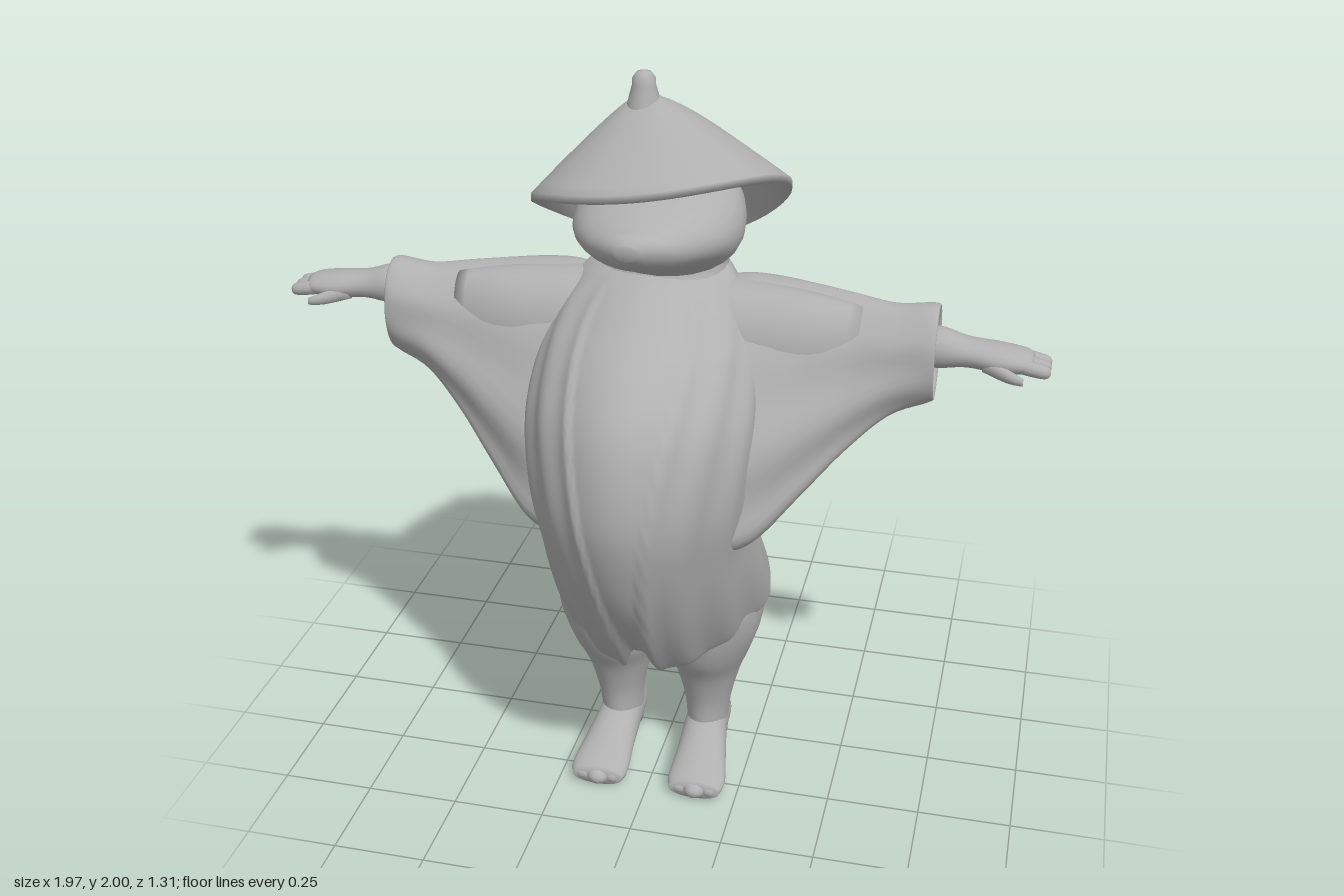
import * as THREE from 'three';
import { mergeVertices } from 'three/addons/utils/BufferGeometryUtils.js';

const V = (x, y, z) => new THREE.Vector3(x, y, z);
const { smoothstep, lerp } = THREE.MathUtils;

// Ring through a front point and a back point (y, z each), with half width rx and centre cx
const ring = (fy, fz, by, bz, rx, cx = 0) => ({
  c: V(cx, (fy + by) / 2, (fz + bz) / 2),
  u: V(rx, 0, 0),
  v: V(0, (fy - by) / 2, (fz - bz) / 2),
});
// Upright ring across the x axis; the lower end leans forward by skew
const cross = (x, y0, y1, z0, z1, skew = 0) => ({
  c: V(x, (y0 + y1) / 2, (z0 + z1) / 2),
  u: V(0, 0, (z1 - z0) / 2),
  v: V(0, (y1 - y0) / 2, -skew),
});

// Smooth closed skin over a row of elliptical rings
function loft(rings, n = 28, steps = 4, mod = null) {
  const [C, U, W] = ['c', 'u', 'v'].map(k => new THREE.CatmullRomCurve3(rings.map(r => r[k]), false, 'catmullrom', 0.5));
  const rows = (rings.length - 1) * steps, pos = [], idx = [];
  for (let i = 0; i <= rows; i++) {
    const t = i / rows, c = C.getPoint(t), u = U.getPoint(t), v = W.getPoint(t);
    for (let j = 0; j < n; j++) {
      const a = (j / n) * Math.PI * 2;
      const d = u.clone().multiplyScalar(Math.cos(a)).addScaledVector(v, Math.sin(a));
      if (mod) mod(d, a, t);
      d.add(c);
      pos.push(d.x, d.y, d.z);
    }
  }
  // The middle of the row decides which way the skin faces, as ends may fold inward
  const m = rings.length >> 1;
  const axis = rings[m].c.clone().sub(rings[m - 1].c);
  const flip = rings[m].u.clone().cross(rings[m].v).dot(axis) < 0;
  const tri = (a, b, c) => flip ? idx.push(a, c, b) : idx.push(a, b, c);
  for (let i = 0; i < rows; i++) for (let j = 0; j < n; j++) {
    const k = (j + 1) % n, a = i * n + j, b = i * n + k;
    tri(a, b, b + n);
    tri(a, b + n, a + n);
  }
  // End caps
  for (const [row, r] of [[0, rings[0]], [rows, rings[rings.length - 1]]]) {
    const hub = pos.length / 3;
    pos.push(r.c.x, r.c.y, r.c.z);
    for (let j = 0; j < n; j++) {
      const a = row * n + j, b = row * n + (j + 1) % n;
      row ? tri(a, b, hub) : tri(b, a, hub);
    }
  }
  const g = new THREE.BufferGeometry();
  g.setAttribute('position', new THREE.Float32BufferAttribute(pos, 3));
  g.setIndex(idx);
  g.computeVertexNormals();
  return g;
}

// Wide cone hat whose rim droops at the back and tips to one side
function hatGeometry() {
  const prof = [];
  for (let i = 0; i <= 12; i++) prof.push(new THREE.Vector2(i / 12, -0.02));
  for (let i = 12; i >= 0; i--) prof.push(new THREE.Vector2(i / 12, 0));
  let g = new THREE.LatheGeometry(prof, 48);
  const p = g.attributes.position;
  for (let i = 0; i < p.count; i++) {
    const x = p.getX(i), z = p.getZ(i), t = Math.hypot(x, z);
    const s = t > 1e-6 ? x / t : 0, c = t > 1e-6 ? z / t : 0;
    const rim = 1.71 + 0.05 * s + 0.15 * c - 0.07 * c * c;
    const drop = lerp(Math.pow(t, 1.3 - 0.4 * c), 0.42 * t + 0.58 * t ** 5, Math.max(0, -c) ** 2);
    const y = 1.945 + (rim - 1.945) * drop + p.getY(i);
    p.setXYZ(i, -0.03 + 0.04 * t + 0.32 * x, y, 0.165 + 0.3 * z);
  }
  g.deleteAttribute('uv');
  g.deleteAttribute('normal');
  g = mergeVertices(g, 1e-5);
  g.computeVertexNormals();
  return g;
}

export function createModel() {
  const model = new THREE.Group();
  const grey = new THREE.MeshStandardMaterial({ color: 0xb0b0b0 });
  grey.name = 'plainGrey';
  const add = (name, geo) => {
    const m = new THREE.Mesh(geo, grey);
    m.name = name;
    model.add(m);
    return m;
  };

  // Robe: hollow hem, full belly, coat fronts standing proud of the middle
  const robe = [
    ring(0.56, 0.38, 0.76, -0.02, 0.26),
    ring(0.45, 0.345, 0.72, -0.08, 0.285),
    ring(0.43, 0.36, 0.715, -0.10, 0.3),
    ring(0.6, 0.49, 0.79, -0.045, 0.295),
    ring(0.8, 0.6, 0.88, 0.03, 0.28),
    ring(1.0, 0.655, 1.0, 0.1, 0.285),
    ring(1.2, 0.625, 1.14, 0.105, 0.29),
    ring(1.33, 0.535, 1.28, 0.04, 0.275),
    ring(1.42, 0.41, 1.4, 0.0, 0.245),
    ring(1.485, 0.31, 1.5, -0.015, 0.19),
    ring(1.52, 0.23, 1.55, 0.0, 0.13),
  ];
  add('robe', loft(robe, 120, 6, (d, a, t) => {
    const front = Math.abs(Math.atan2(Math.sin(a - Math.PI / 2), Math.cos(a - Math.PI / 2)));
    const edge = 0.12 + 0.6 * smoothstep(t, 0.2, 0.85);
    const fade = 1 - smoothstep(t, 0.8, 0.95);
    const coat = smoothstep(front, edge, edge + 0.06) * (1 - smoothstep(front, 1.2, 1.8));
    const folds = 0.018 * Math.cos((front - edge) * 14);
    d.x *= 1 - 0.31 * Math.max(0, Math.sin(a));
    d.multiplyScalar(1 + fade * coat * (0.028 + folds));
    // Parting between the coat fronts at the hem
    const part = (1 - smoothstep(front, 0.05, 0.25)) * (1 - smoothstep(t, 0.2, 0.45));
    d.y += 0.09 * part;
    d.z += 0.05 * part;
  }));

  // Neck and head with a broad muzzle
  add('neck', loft([
    ring(1.44, 0.3, 1.42, 0.0, 0.19), ring(1.52, 0.25, 1.54, -0.02, 0.16, 0.01),
    ring(1.6, 0.25, 1.64, -0.01, 0.17, 0.02), ring(1.68, 0.26, 1.72, 0.03, 0.16, 0.02),
  ]));
  add('head', loft([
    ring(1.73, -0.01, 1.64, -0.01, 0.06, 0.02), ring(1.78, 0.05, 1.57, 0.04, 0.15, 0.02),
    ring(1.81, 0.16, 1.52, 0.14, 0.2, 0.02), ring(1.78, 0.26, 1.505, 0.23, 0.21, 0.02),
    ring(1.725, 0.34, 1.55, 0.32, 0.18, 0.015), ring(1.695, 0.41, 1.575, 0.395, 0.12, 0.005),
    ring(1.685, 0.455, 1.6, 0.44, 0.07), ring(1.665, 0.475, 1.63, 0.47, 0.025),
  ]));

  // Hat with a small peak flowing out of the cone
  add('hat', hatGeometry());
  const peak = [[0.045, 1.9], [0.036, 1.94], [0.029, 1.965], [0.028, 1.982], [0.018, 1.996], [0, 2]];
  const tip = add('hatPeak', new THREE.LatheGeometry(peak.map(([r, y]) => new THREE.Vector2(r, y)), 24));
  tip.position.set(-0.03, 0, 0.17);

  // Tail
  add('tail', loft([
    ring(0.78, -0.04, 0.7, 0.07, 0.06), ring(0.65, -0.15, 0.52, -0.03, 0.075),
    ring(0.52, -0.2, 0.38, -0.09, 0.08, -0.01), ring(0.41, -0.28, 0.25, -0.16, 0.095, -0.03),
    ring(0.335, -0.36, 0.165, -0.235, 0.11, -0.055), ring(0.325, -0.43, 0.155, -0.38, 0.1, -0.06),
    ring(0.285, -0.51, 0.2, -0.5, 0.05, -0.035), ring(0.267, -0.56, 0.238, -0.56, 0.018, -0.02),
    ring(0.258, -0.65, 0.252, -0.65, 0.003, -0.02),
  ]));

  for (const [s, side] of [[1, 'left'], [-1, 'right']]) {
    const flipX = rings => (rings.forEach(r => { r.c.x *= s; }), rings);
    // Hands hang a little lower on the left
    const addHand = (name, rings, n) => { add(side + name, loft(flipX(rings), n)).position.y = 0.005 - 0.018 * s; };

    // Draped sleeve with a hollow cuff
    add(side + 'Sleeve', loft(flipX([
      cross(0.1, 0.95, 1.46, 0.14, 0.36, 0.1), cross(0.2, 0.84, 1.485, 0.11, 0.39, 0.12),
      cross(0.29, 0.85, 1.485, 0.1, 0.37, 0.11), cross(0.4, 0.97, 1.475, 0.1, 0.32, 0.08),
      cross(0.5, 1.085, 1.465, 0.1, 0.28, 0.05), cross(0.6, 1.175, 1.455, 0.09, 0.26, 0.02),
      cross(0.69, 1.205, 1.465, 0.07, 0.25), cross(0.705, 1.22, 1.455, 0.08, 0.24),
      cross(0.67, 1.25, 1.43, 0.1, 0.22), cross(0.6, 1.28, 1.42, 0.11, 0.21),
    ]), 48, 5, (d, a, t) => {
      d.z *= 1 + 0.08 * Math.cos(a * 7 + t * 5) * Math.sin(Math.PI * Math.min(1, t * 1.4));
    }));
    // Shoulder joining the sleeve to the back
    add(side + 'Shoulder', loft(flipX([
      cross(0.04, 1.2, 1.47, 0.03, 0.26), cross(0.16, 1.18, 1.485, 0.015, 0.28),
      cross(0.28, 1.17, 1.48, 0.04, 0.28), cross(0.4, 1.18, 1.47, 0.075, 0.27),
      cross(0.52, 1.22, 1.45, 0.11, 0.24),
    ]), 32));

    // Forearm, palm, fingers and thumb
    addHand('Hand', [
      cross(0.61, 1.33, 1.39, 0.13, 0.2), cross(0.7, 1.315, 1.42, 0.11, 0.215),
      cross(0.78, 1.325, 1.4, 0.115, 0.21), cross(0.86, 1.32, 1.39, 0.105, 0.22),
      cross(0.92, 1.325, 1.38, 0.11, 0.215), cross(0.94, 1.335, 1.37, 0.13, 0.195),
    ], 20);
    for (const [i, z] of [0.13, 0.163, 0.195].entries()) {
      addHand('Finger' + (i + 1), [
        cross(0.89, 1.335, 1.375, z - 0.018, z + 0.018), cross(0.95, 1.325, 1.362, z - 0.019, z + 0.019),
        cross(0.975, 1.325, 1.355, z - 0.014, z + 0.014), cross(0.983, 1.335, 1.345, z - 0.005, z + 0.005),
      ], 12);
    }
    addHand('Thumb', [
      cross(0.82, 1.325, 1.37, 0.17, 0.21), cross(0.88, 1.315, 1.35, 0.205, 0.235),
      cross(0.92, 1.315, 1.335, 0.225, 0.242),
    ], 12);

    // Baggy trouser leg narrowing to the ankle
    add(side + 'Leg', loft(flipX([
      ring(0.82, 0.28, 0.82, 0.13, 0.11, 0.11), ring(0.6, 0.3, 0.62, -0.03, 0.145, 0.135),
      ring(0.48, 0.28, 0.5, -0.03, 0.142, 0.14), ring(0.38, 0.25, 0.4, -0.025, 0.122, 0.13),
      ring(0.3, 0.205, 0.31, 0.0, 0.092, 0.128), ring(0.2, 0.175, 0.2, 0.015, 0.066, 0.127),
      ring(0.12, 0.17, 0.12, 0.0, 0.058, 0.125), ring(0.06, 0.16, 0.06, 0.01, 0.055, 0.125),
    ]), 28, 4, (d, a, t) => {
      d.multiplyScalar(1 + 0.025 * Math.cos(a * 6 + t * 9) * Math.max(0, 1 - t * 1.6));
    }));

    // Foot and toes
    add(side + 'Foot', loft(flipX([
      ring(0.13, -0.004, 0.06, 0.0, 0.02, 0.125), ring(0.17, 0.03, 0.04, 0.02, 0.055, 0.125),
      ring(0.165, 0.12, 0.03, 0.1, 0.06, 0.125), ring(0.11, 0.22, 0.02, 0.2, 0.07, 0.133),
      ring(0.07, 0.3, 0.008, 0.29, 0.08, 0.138), ring(0.05, 0.335, 0.004, 0.335, 0.07, 0.138),
    ]), 24));
    for (let i = -1; i <= 1; i++) {
      const toe = add(side + 'Toe' + (i + 2), new THREE.SphereGeometry(1, 14, 10));
      toe.scale.set(0.033, 0.026, 0.036);
      toe.position.set(s * (0.138 + i * 0.042), 0.027, 0.318 - Math.abs(i) * 0.014);
    }
  }
  return model;
}
